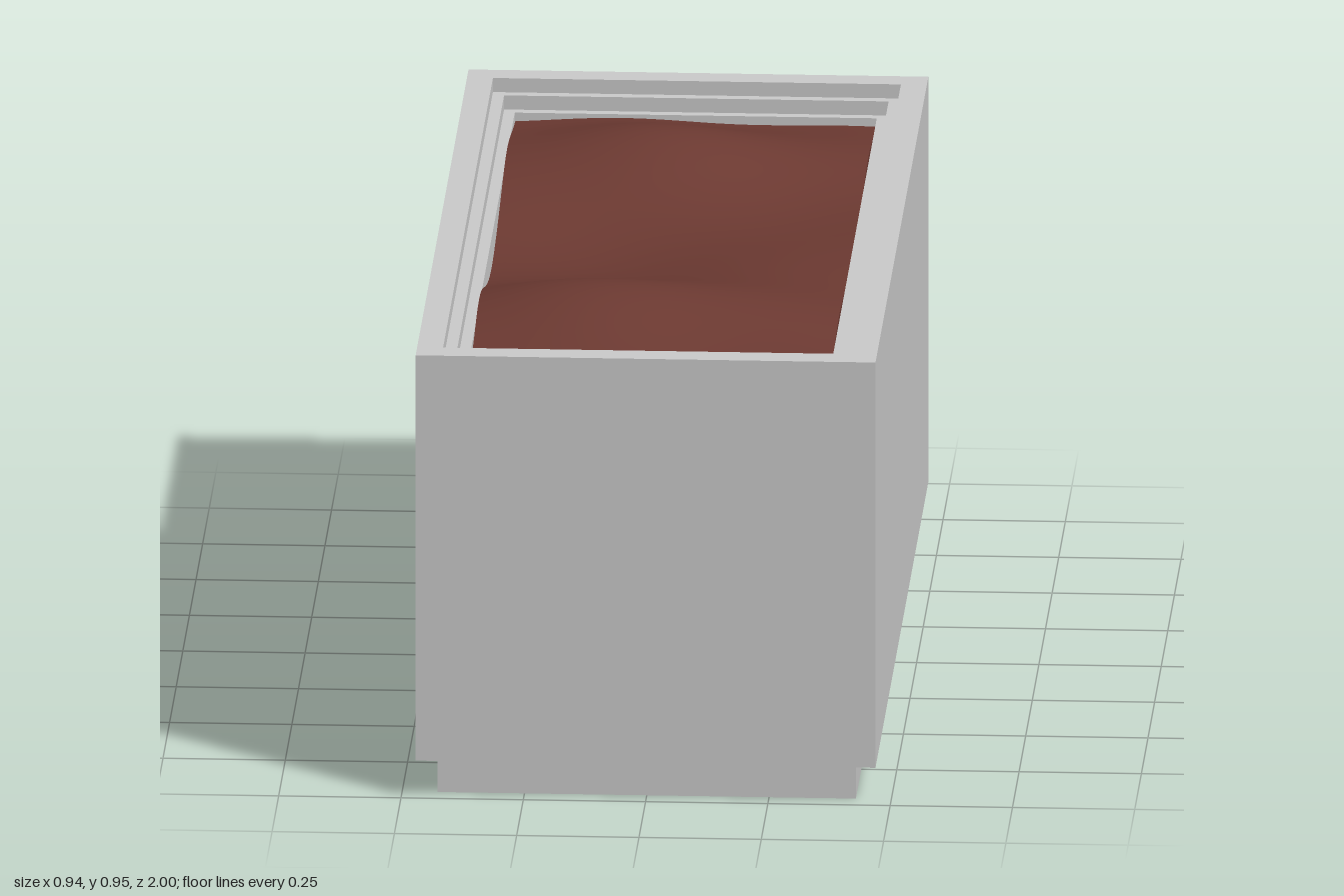
import * as THREE from 'three';

const grey = new THREE.MeshStandardMaterial({ color: 0xcccccc });
const earth = new THREE.MeshStandardMaterial({ color: 0x6d3a32 });

// Closed shell made by joining rectangular rings [halfX, y, halfZ], flat-faced
function ringShell(rings) {
  const pos = [];
  const corner = ([hx, y, hz], k) => [
    [hx, y, hz], [hx, y, -hz], [-hx, y, -hz], [-hx, y, hz],
  ][k % 4];
  for (let i = 0; i < rings.length - 1; i++) {
    for (let k = 0; k < 4; k++) {
      const a = corner(rings[i], k), b = corner(rings[i], k + 1);
      const c = corner(rings[i + 1], k + 1), d = corner(rings[i + 1], k);
      pos.push(...a, ...b, ...c, ...a, ...c, ...d);
    }
  }
  const geo = new THREE.BufferGeometry();
  geo.setAttribute('position', new THREE.Float32BufferAttribute(pos, 3));
  geo.computeVertexNormals();
  return geo;
}

const bell = (v, centre, width) => Math.exp(-0.5 * ((v - centre) / width) ** 2);

// Height of the soil: two mounds across the bed, a dip between them, small ripples
function soilHeight(x, z) {
  const across = bell(x, -0.085, 0.27);
  const mounds = bell(z, 0.48, 0.17) + bell(z, -0.59, 0.17);
  const dip = bell(z, 0, 0.22) * (0.4 - x) * 0.04;
  const ripple = 0.006 * Math.sin(9 * x + 3 * z) * Math.cos(7 * z - 4 * x);
  return 0.857 + 0.088 * across * mounds - dip + ripple + 0.018 * bell(x, 0.37, 0.2) * bell(z, 0, 0.6);
}

function soilGeometry() {
  const bottom = 0.7, top = 0.85;
  const geo = new THREE.BoxGeometry(0.738, top - bottom, 1.798, 30, 1, 72);
  geo.translate(0, (top + bottom) / 2, 0);
  const p = geo.attributes.position;
  for (let i = 0; i < p.count; i++) {
    if (p.getY(i) > 0.8) p.setY(i, soilHeight(p.getX(i), p.getZ(i)));
  }
  // Smooth normals on the top; each box side keeps its own vertices, so edges stay sharp
  geo.computeVertexNormals();
  return geo;
}

export function createModel() {
  const model = new THREE.Group();
  const add = (name, geo, mat) => {
    const mesh = new THREE.Mesh(geo, mat);
    mesh.name = name;
    model.add(mesh);
    return mesh;
  };

  // Recessed plinth
  add('plinth', new THREE.BoxGeometry(0.855, 0.08, 1.91), grey).position.y = 0.04;

  // Planter box with a rim and two stepped ledges inside
  add('planterBox', ringShell([
    [0, 0.08, 0],
    [0.47, 0.08, 1],
    [0.47, 0.945, 1],
    [0.417, 0.945, 0.943],
    [0.417, 0.915, 0.943],
    [0.393, 0.915, 0.921],
    [0.393, 0.885, 0.921],
    [0.37, 0.885, 0.9],
    [0.37, 0.69, 0.9],
    [0, 0.69, 0],
  ]), grey);

  // Undulating soil
  add('soil', soilGeometry(), earth);
  return model;
}
